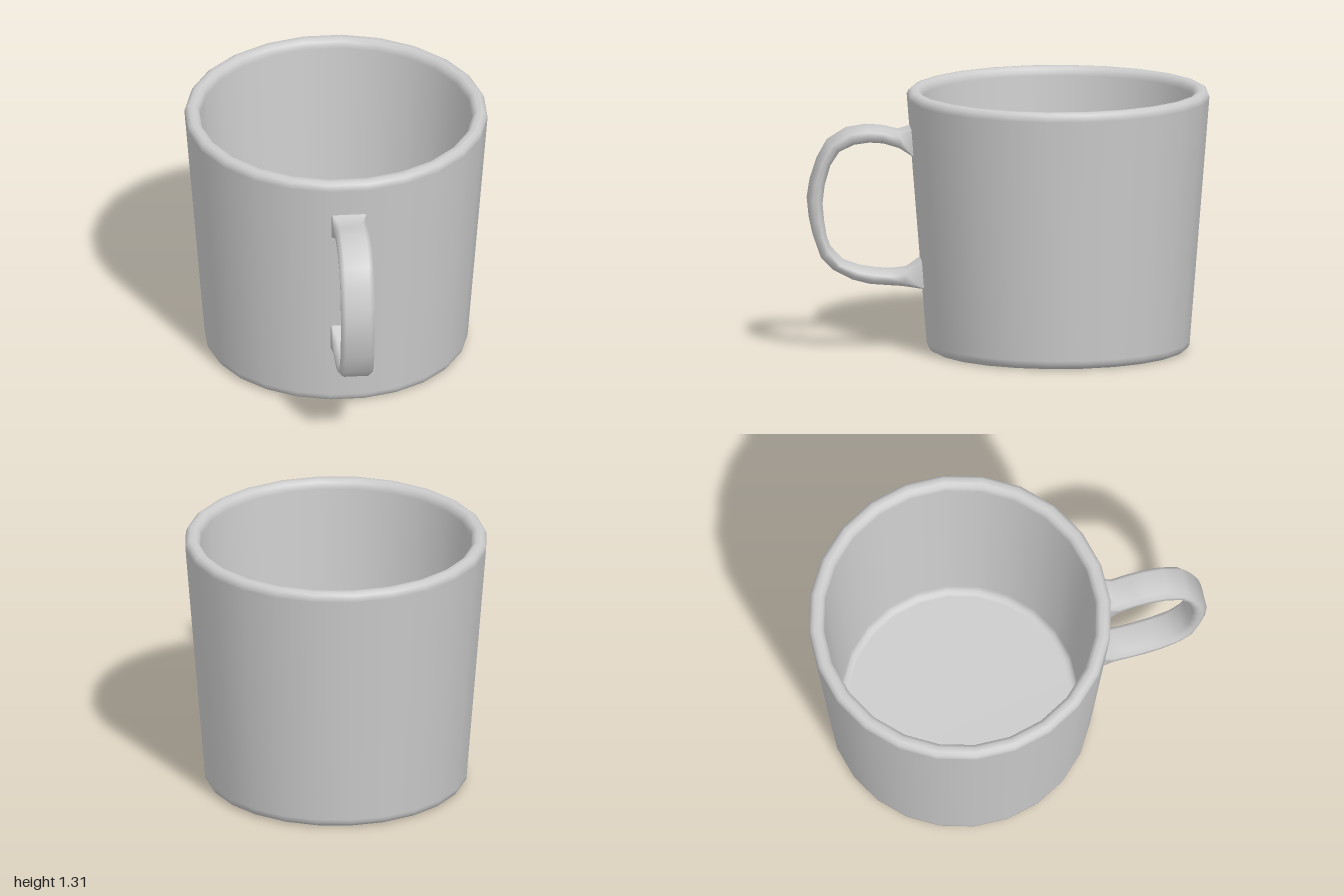
import * as THREE from 'three';

const material = new THREE.MeshStandardMaterial({ color: 0xcccccc });

// Mug body: closed profile from the underside, up the wall, over the rim to the inner floor
function createBody() {
  const sides = 24;
  const profile = [
    [0, 0], [0.61, 0], [0.625, 0.001], [0.643, 0.01], [0.655, 0.027], [0.657, 0.045],
    [0.754, 1.265], [0.755, 1.28], [0.748, 1.298], [0.732, 1.31],
    [0.705, 1.31], [0.688, 1.298], [0.68, 1.28], [0.678, 1.265],
    [0.592, 0.12], [0.589, 0.1], [0.58, 0.083], [0.565, 0.075], [0.55, 0.074], [0, 0.074],
  ].map(([r, y]) => new THREE.Vector2(r, y));
  // half-step turn puts a flat side towards the front
  const body = new THREE.Mesh(new THREE.LatheGeometry(profile, sides, Math.PI / sides), material);
  body.name = 'body';
  body.position.z = -0.25;
  return body;
}

// Handle: bevelled strap lofted between an outer and an inner edge
function createHandle() {
  // outer z, outer y, inner z, inner y
  const stations = [
    [0.455, 1.135, 0.445, 0.97], [0.495, 1.122, 0.48, 0.99], [0.545, 1.11, 0.545, 1.03],
    [0.63, 1.13, 0.625, 1.055], [0.71, 1.135, 0.695, 1.06], [0.805, 1.12, 0.77, 1.05],
    [0.9, 1.06, 0.845, 1.015], [0.95, 0.97, 0.89, 0.945], [0.985, 0.865, 0.918, 0.845],
    [1.0, 0.77, 0.928, 0.755], [0.99, 0.67, 0.92, 0.67], [0.97, 0.58, 0.907, 0.59],
    [0.935, 0.48, 0.88, 0.52], [0.875, 0.42, 0.82, 0.455], [0.78, 0.37, 0.735, 0.425],
    [0.69, 0.347, 0.655, 0.412], [0.6, 0.34, 0.585, 0.407], [0.53, 0.335, 0.505, 0.415],
    [0.43, 0.322, 0.435, 0.46], [0.39, 0.315, 0.4, 0.475],
  ];
  const positions = [];
  const index = [];
  const last = stations.length - 1;
  stations.forEach(([oz, oy, iz, iy], s) => {
    const t = Math.hypot(oz - iz, oy - iy);
    const uz = (oz - iz) / t;
    const uy = (oy - iy) / t;
    const w = s < 2 || s > last - 2 ? 0.088 : 0.084;
    const c = s < 2 || s > last - 2 ? 0.008 : 0.023;
    const ring = [
      [c - w, t], [w - c, t], [w, t - c], [w, c],
      [w - c, 0], [c - w, 0], [-w, c], [-w, t - c],
    ];
    for (const [x, d] of ring) positions.push(x, iy + uy * d, iz + uz * d);
    if (s === last) return;
    for (let k = 0; k < 8; k++) {
      const a = s * 8 + k;
      const b = s * 8 + (k + 1) % 8;
      index.push(a, a + 8, b, a + 8, b + 8, b);
    }
  });
  const geometry = new THREE.BufferGeometry();
  geometry.setAttribute('position', new THREE.Float32BufferAttribute(positions, 3));
  geometry.setIndex(index);
  geometry.computeVertexNormals();
  const handle = new THREE.Mesh(geometry, material);
  handle.name = 'handle';
  return handle;
}

export function createModel() {
  const mug = new THREE.Group();
  mug.name = 'mug';
  mug.add(createBody(), createHandle());
  return mug;
}
